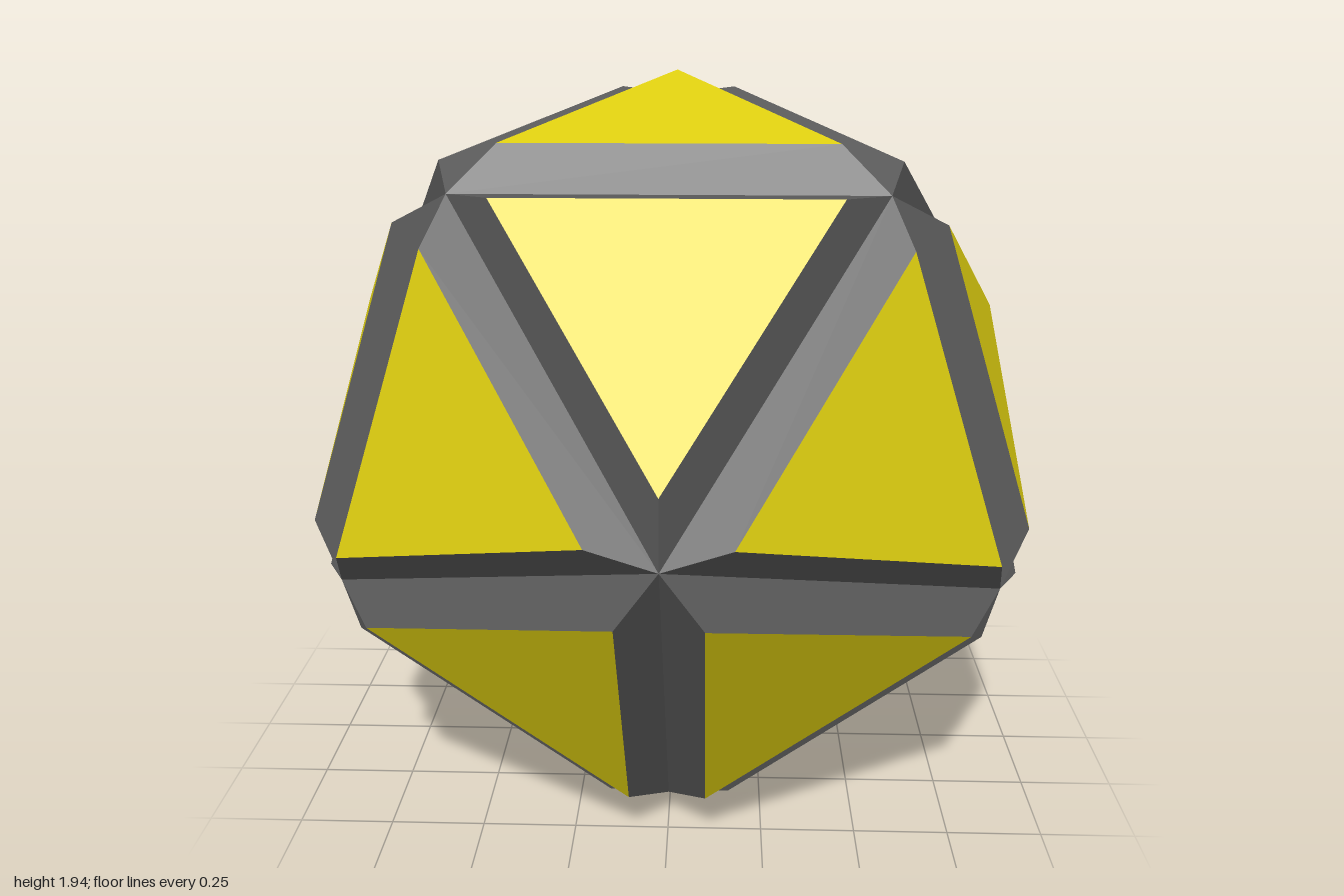
import * as THREE from 'three';

const PLATE_SCALE = 0.777; // plate size relative to the icosahedron face
const PLATE_LIFT = 1.13;   // plate centre distance relative to the face centre
const CENTRE_Y = 0.972;

// Flat-shaded mesh from a list of triangle corners
function facetMesh(name, points, material) {
  const geometry = new THREE.BufferGeometry().setFromPoints(points);
  geometry.computeVertexNormals();
  const mesh = new THREE.Mesh(geometry, material);
  mesh.name = name;
  return mesh;
}

// Ring of five icosahedron vertices around the z axis
function ring(startDegrees, z) {
  return Array.from({ length: 5 }, (_, i) => {
    const a = THREE.MathUtils.degToRad(startDegrees + 72 * i);
    const r = 2 / Math.sqrt(5);
    return new THREE.Vector3(r * Math.cos(a), r * Math.sin(a), z);
  });
}

// The 20 faces, all wound to face outward
function icosahedronFaces() {
  const h = 1 / Math.sqrt(5);
  const front = new THREE.Vector3(0, 0, 1);
  const back = new THREE.Vector3(0, 0, -1);
  const f = ring(54, h);
  const b = ring(18, -h);
  const faces = [];
  for (let i = 0; i < 5; i++) {
    const j = (i + 1) % 5;
    faces.push(
      [front, f[i], f[j]],
      [f[i], b[j], f[j]],
      [f[i], b[i], b[j]],
      [back, b[j], b[i]]
    );
  }
  return faces;
}

export function createModel() {
  const group = new THREE.Group();
  group.name = 'panelledIcosahedron';
  const yellow = new THREE.MeshStandardMaterial({ color: 0xe0d010, flatShading: true });
  const grey = new THREE.MeshStandardMaterial({ color: 0x5a5a5a, flatShading: true });

  for (const face of icosahedronFaces()) {
    const panel = new THREE.Group();
    panel.name = 'panel';
    const centre = new THREE.Vector3();
    face.forEach((v) => centre.addScaledVector(v, 1 / 3));

    // Raised triangular plate
    const plate = face.map((v) =>
      v.clone().sub(centre).multiplyScalar(PLATE_SCALE).addScaledVector(centre, PLATE_LIFT));
    panel.add(facetMesh('plate', plate, yellow));

    // Sloping sides running down to the groove lines
    const sides = [];
    for (let i = 0; i < 3; i++) {
      const j = (i + 1) % 3;
      sides.push(face[i], face[j], plate[j], face[i], plate[j], plate[i]);
    }
    panel.add(facetMesh('grooveSides', sides, grey));
    group.add(panel);
  }

  group.position.y = CENTRE_Y;
  return group;
}
